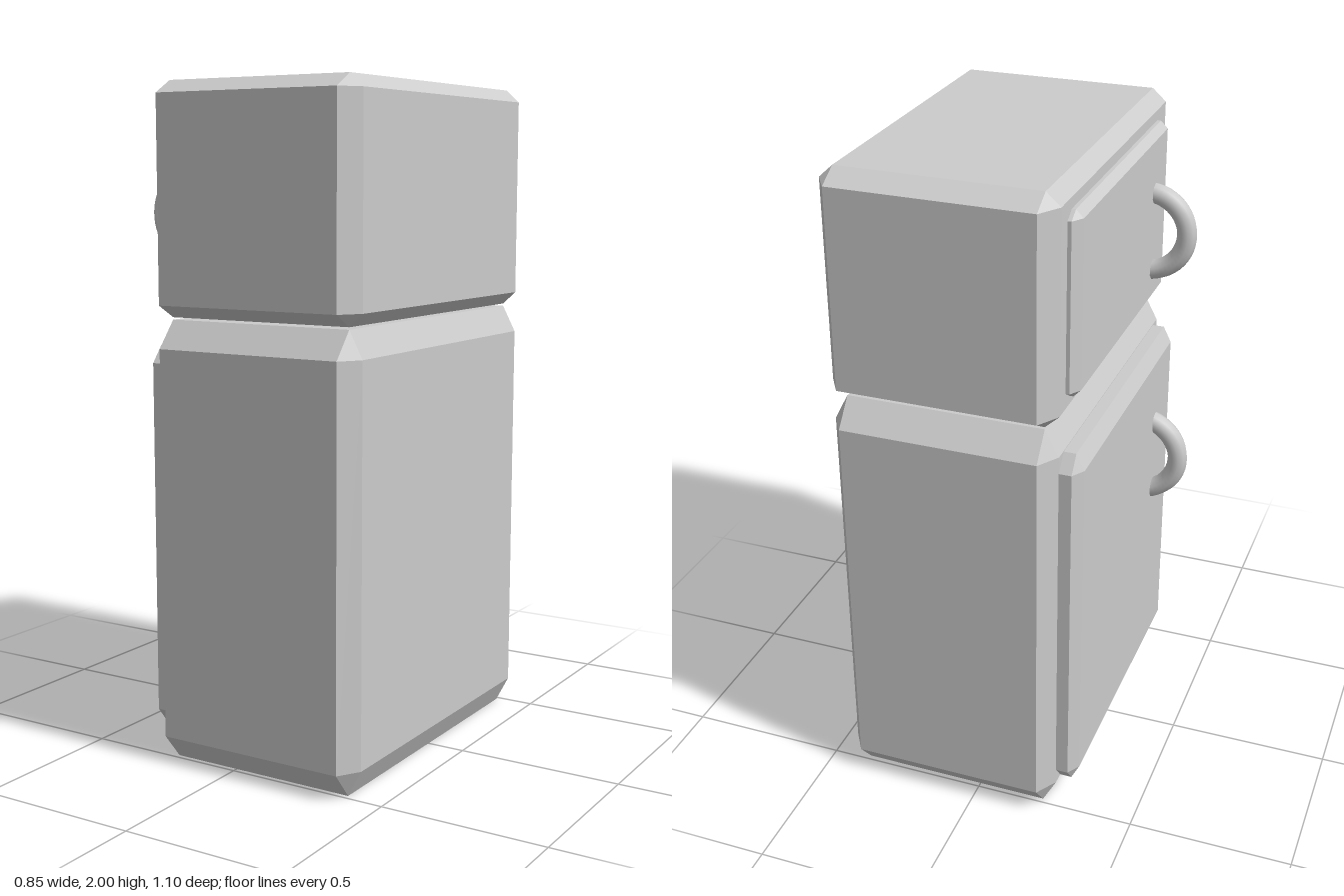
import * as THREE from 'three';
import { ConvexGeometry } from 'three/addons/geometries/ConvexGeometry.js';

const material = new THREE.MeshStandardMaterial({ color: 0xcccccc });
const flatMaterial = new THREE.MeshStandardMaterial({ color: 0xcccccc, flatShading: true });

// Box from min to max whose edges are cut back by a different amount on each axis
function chamferedBox(name, min, max, cut) {
  const points = [];
  for (let face = 0; face < 3; face++) {
    for (let corner = 0; corner < 8; corner++) {
      const p = [0, 1, 2].map((axis) => {
        const inset = axis === face ? 0 : cut[axis];
        return corner & (1 << axis) ? max[axis] - inset : min[axis] + inset;
      });
      points.push(new THREE.Vector3(...p));
    }
  }
  const mesh = new THREE.Mesh(new ConvexGeometry(points), flatMaterial);
  mesh.name = name;
  return mesh;
}

// Curved pull: part of a ring in the xy plane with closed ends
function handle(name, x, y, ring, tube, start, end) {
  const group = new THREE.Group();
  group.name = name;
  const a0 = THREE.MathUtils.degToRad(start);
  const a1 = THREE.MathUtils.degToRad(end);
  const bar = new THREE.Mesh(new THREE.TorusGeometry(ring, tube, 10, 24, a1 - a0), material);
  bar.name = name + 'Bar';
  bar.rotation.z = a0;
  group.add(bar);
  for (const [angle, turn] of [[a0, Math.PI / 2], [a1, -Math.PI / 2]]) {
    const geometry = new THREE.CircleGeometry(tube, 10);
    geometry.rotateX(turn);
    geometry.translate(ring, 0, 0);
    geometry.rotateZ(angle);
    const cap = new THREE.Mesh(geometry, material);
    cap.name = name + 'End';
    group.add(cap);
  }
  group.position.set(x, y, 0.287);
  return group;
}

export function createModel() {
  const model = new THREE.Group();
  model.name = 'refrigerator';

  // Cabinets
  model.add(chamferedBox('lowerCabinet', [-0.253, 0, -0.55], [0.425, 1.32, 0.55], [0.042, 0.08, 0.066]));
  model.add(chamferedBox('freezerCabinet', [-0.253, 1.327, -0.55], [0.425, 2, 0.55], [0.042, 0.038, 0.066]));

  // Doors, set into the cabinet side
  model.add(chamferedBox('lowerDoor', [-0.315, 0.08, -0.485], [-0.2, 1.238, 0.48], [0.025, 0.05, 0.04]));
  model.add(chamferedBox('freezerDoor', [-0.286, 1.39, -0.435], [-0.2, 1.93, 0.43], [0.022, 0.022, 0.034]));

  // Handles
  model.add(handle('lowerHandle', -0.264, 0.85, 0.131, 0.032, 95, 262));
  model.add(handle('freezerHandle', -0.265, 1.62, 0.124, 0.031, 95, 261));

  return model;
}
